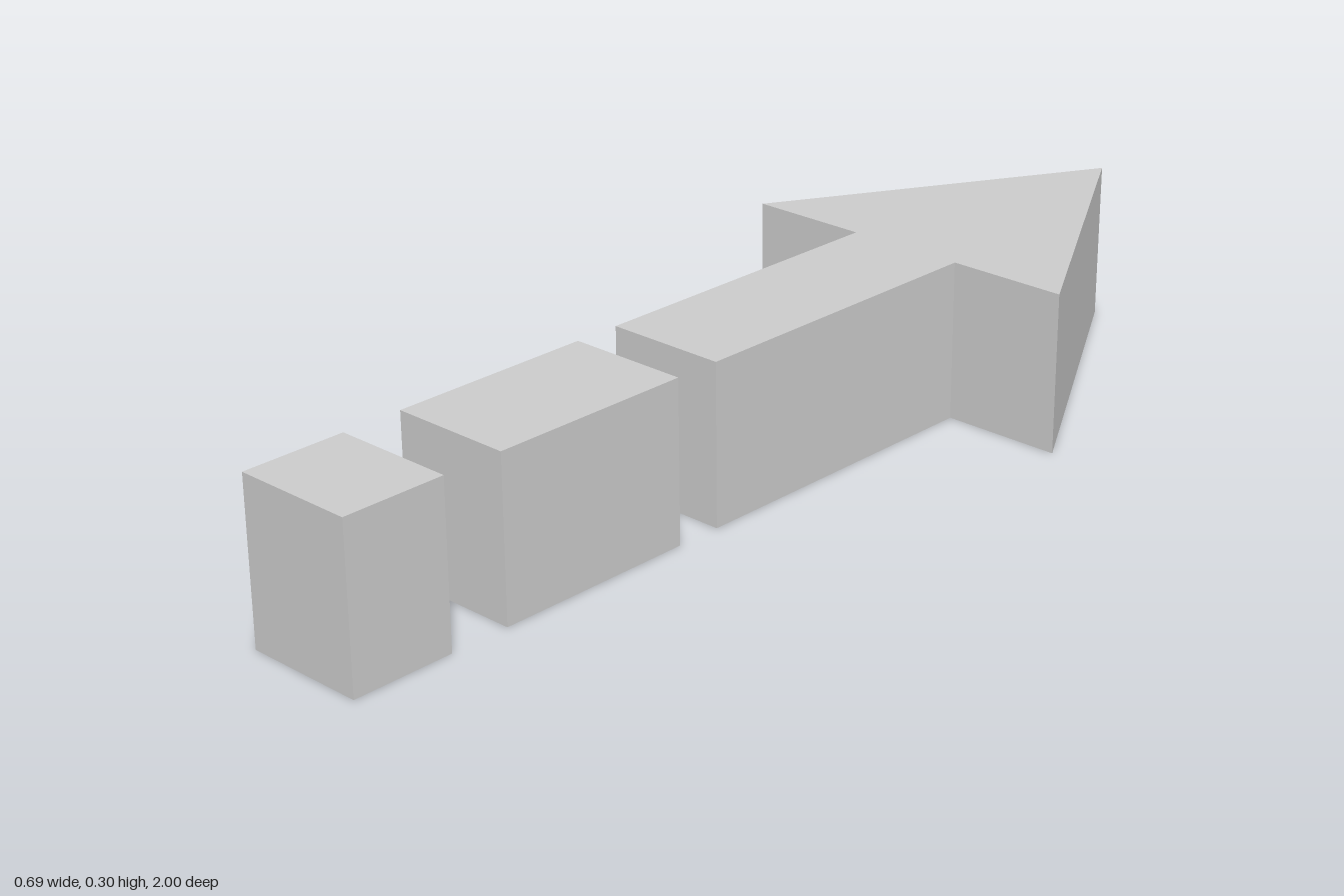
import * as THREE from 'three';

const HEIGHT = 0.3;
const HALF_SHAFT = 0.115;
const HALF_HEAD = 0.345;

export function createModel() {
  const model = new THREE.Group();
  model.name = 'dashedArrow';
  const material = new THREE.MeshStandardMaterial({ color: 0xcccccc, flatShading: true });

  // Arrow head and its joined shaft: one outline, extruded upward (shape y = -z)
  const outline = [
    [0, -1], [-HALF_HEAD, -0.403], [-HALF_SHAFT, -0.403], [-HALF_SHAFT, 0.215],
    [HALF_SHAFT, 0.215], [HALF_SHAFT, -0.403], [HALF_HEAD, -0.403],
  ].map(([x, z]) => new THREE.Vector2(x, -z));
  const arrowGeometry = new THREE.ExtrudeGeometry(new THREE.Shape(outline), {
    depth: HEIGHT, bevelEnabled: false,
  });
  arrowGeometry.rotateX(-Math.PI / 2);
  const arrow = new THREE.Mesh(arrowGeometry, material);
  arrow.name = 'arrowHeadAndShaft';
  model.add(arrow);

  // Separate dashes of the tail: name, z start, z end
  for (const [name, z0, z1] of [['longDash', 0.303, 0.69], ['shortDash', 0.805, 1]]) {
    const dash = new THREE.Mesh(new THREE.BoxGeometry(2 * HALF_SHAFT, HEIGHT, z1 - z0), material);
    dash.name = name;
    dash.position.set(0, HEIGHT / 2, (z0 + z1) / 2);
    model.add(dash);
  }
  return model;
}
